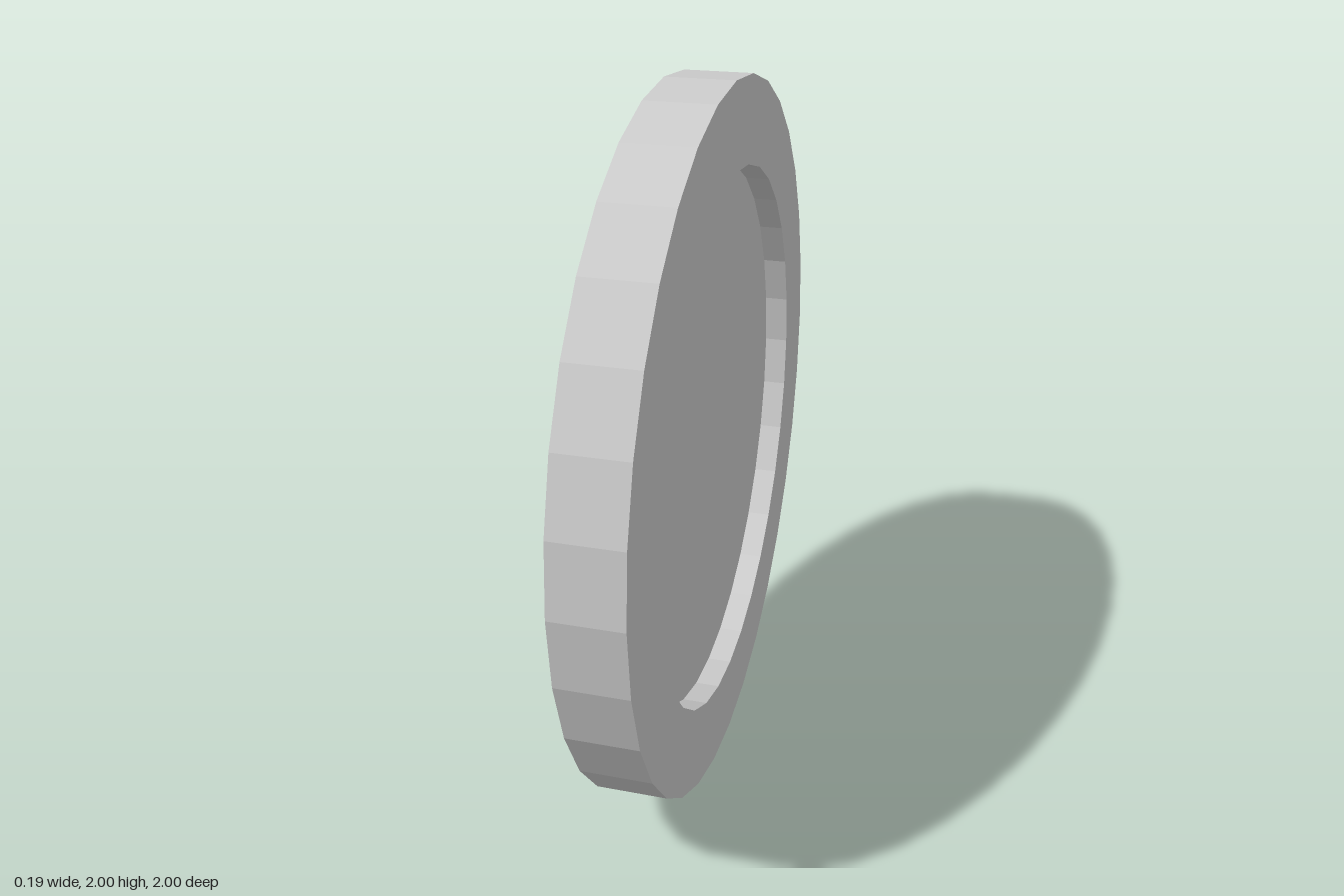
import * as THREE from 'three';

const SIDES = 32;
const OUTER = 1;        // rim outer radius
const INNER = 0.763;    // recess radius
const HALF = 0.095;     // half the rim thickness
const WEB = 0.027;      // half the centre disc thickness

export function createModel() {
  const group = new THREE.Group();
  group.name = 'wheel';
  const material = new THREE.MeshStandardMaterial({ color: 0xcccccc, flatShading: true });

  // Lay the axis along x, lift onto the ground and facet the normals
  const add = (name, geometry) => {
    const faceted = geometry.toNonIndexed();
    faceted.rotateZ(-Math.PI / 2).translate(0, OUTER, 0);
    faceted.computeVertexNormals();
    const mesh = new THREE.Mesh(faceted, material);
    mesh.name = name;
    group.add(mesh);
  };

  // Raised rim: recess wall, side face, tread, side face, recess wall
  const profile = [
    [INNER, -WEB], [INNER, -HALF], [OUTER, -HALF],
    [OUTER, HALF], [INNER, HALF], [INNER, WEB],
  ].map(([r, y]) => new THREE.Vector2(r, y));
  add('rim', new THREE.LatheGeometry(profile, SIDES));

  // Centre disc, recessed on both sides
  add('centreDisc', new THREE.CylinderGeometry(INNER, INNER, WEB * 2, SIDES));

  return group;
}
